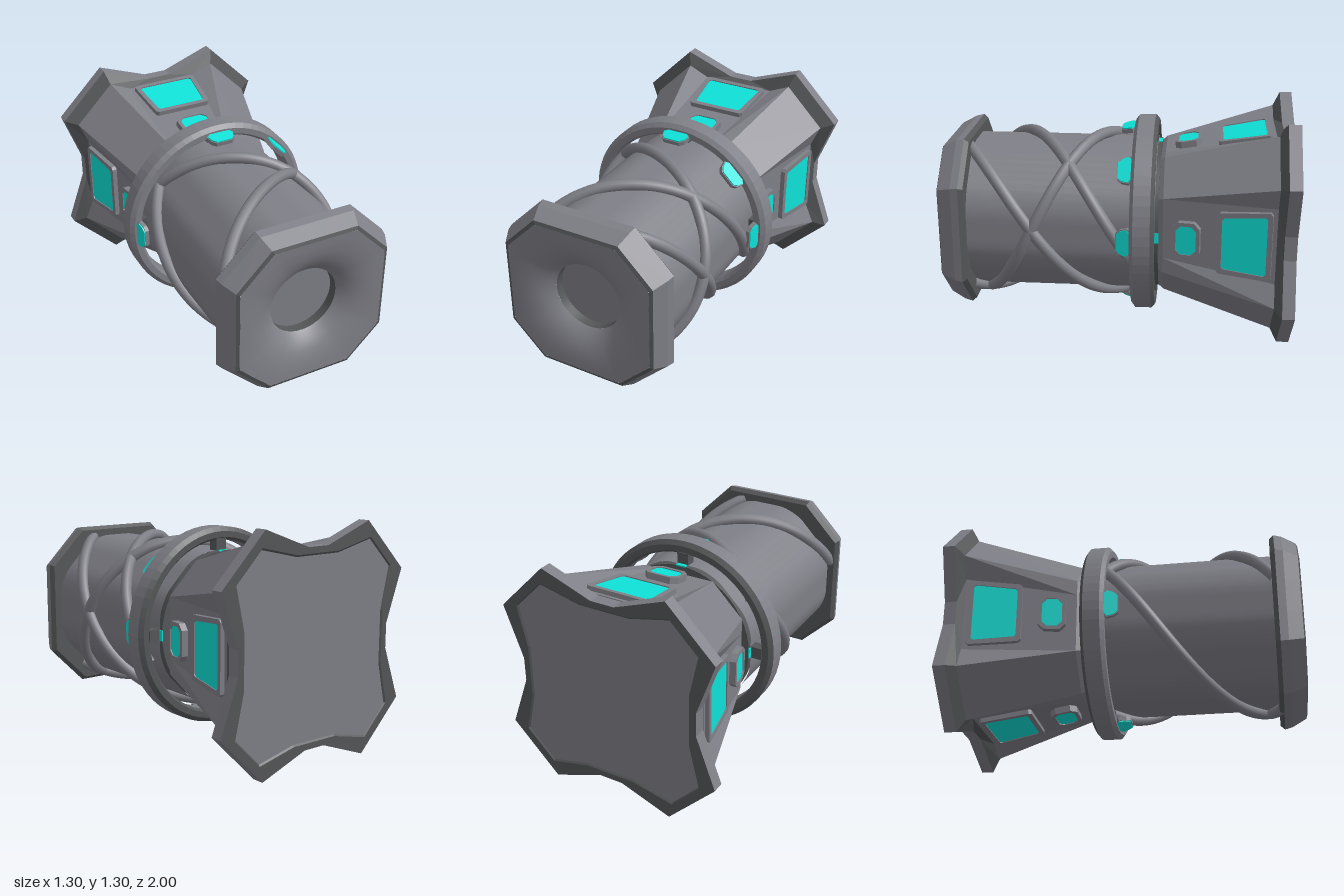
import * as THREE from 'three';

const metal = new THREE.MeshStandardMaterial({ name: 'grey metal', color: 0x7f7f87 });
const trim = new THREE.MeshStandardMaterial({ name: 'dark trim', color: 0x545658 });
const glow = new THREE.MeshStandardMaterial({ name: 'turquoise glass', color: 0x0ee2d8 });

// Four-fold outline: corners (w, c), side centres pulled to distance m over half width f
function star(w, c, m, f) {
  const pts = [];
  for (let k = 0; k < 4; k++) {
    const a = k * Math.PI / 2, s = Math.round(Math.sin(a)), o = Math.round(Math.cos(a));
    for (const [x, y] of [[w, -c], [m, -f], [m, f], [w, c]]) pts.push([x * o - y * s, x * s + y * o]);
  }
  return pts;
}
const oct = (w) => star(w, w * 0.56, w, w * 0.2);

// Outline from a radius rule r(angle)
function polar(n, r) {
  return Array.from({ length: n }, (_, i) => {
    const a = i / n * Math.PI * 2;
    return [Math.cos(a) * r(a), Math.sin(a) * r(a)];
  });
}
const circle = (r) => polar(64, () => r);

// Skin through [z, outline] sections
function loft(sections, smooth = false) {
  const n = sections[0][1].length, pos = [], idx = [];
  for (const [z, pts] of sections) for (const [x, y] of pts) pos.push(x, y, z);
  for (let i = 0; i < sections.length - 1; i++) {
    for (let j = 0; j < n; j++) {
      const a = i * n + j, b = i * n + (j + 1) % n;
      idx.push(a, b, b + n, a, b + n, a + n);
    }
  }
  let g = new THREE.BufferGeometry();
  g.setAttribute('position', new THREE.Float32BufferAttribute(pos, 3));
  g.setIndex(idx);
  if (!smooth) g = g.toNonIndexed();
  g.computeVertexNormals();
  return g;
}

function add(parent, name, geometry, material) {
  const mesh = new THREE.Mesh(geometry, material);
  mesh.name = name;
  parent.add(mesh);
  return mesh;
}

// Group turned about the long axis
function pivotAt(parent, name, angle) {
  const pivot = new THREE.Group();
  pivot.name = name;
  pivot.rotation.z = angle;
  parent.add(pivot);
  return pivot;
}

// Trapezoid with cut corners: half widths w0 (front) and w1 (back), half length h
function trapezoid(w0, w1, h, c, Type = THREE.Shape) {
  const pts = [[w0 - c, -h], [w0, -h + c], [w1, h - c], [w1 - c, h],
    [c - w1, h], [-w1, h - c], [-w0, -h + c], [c - w0, -h]];
  return new Type(pts.map(([x, y]) => new THREE.Vector2(x, y)));
}
const slab = (shape, depth) => new THREE.ExtrudeGeometry(shape, { depth, bevelEnabled: false });

// Group lying on a sloped side, its local z pointing outward and local y backward
function slopedGroup(parent, name, r, z, slope) {
  const g = new THREE.Group();
  g.name = name;
  const up = new THREE.Vector3(slope, 0, -1).normalize();
  const out = new THREE.Vector3(1, 0, slope).normalize();
  g.quaternion.setFromRotationMatrix(
    new THREE.Matrix4().makeBasis(new THREE.Vector3().crossVectors(up, out), up, out));
  g.position.set(r, 0, z);
  parent.add(g);
  return g;
}

// Raised frame with a thin glass pane inside
function windowUnit(parent, name, r, z, [w0, w1, h, c], border, height) {
  const g = slopedGroup(parent, name, r, z, 0.17);
  const inner = [w0 - border, w1 - border, h - border, c * 0.8];
  const frame = trapezoid(w0, w1, h, c);
  frame.holes.push(trapezoid(...inner, THREE.Path));
  add(g, name + 'Frame', slab(frame, height), metal);
  add(g, name + 'Glass', slab(trapezoid(...inner), 0.008), glow).position.z = height - 0.014;
}

export function createModel() {
  const root = new THREE.Group();
  root.name = 'device';
  const model = new THREE.Group();
  model.name = 'deviceParts';
  model.position.y = 0.65;
  root.add(model);

  // Star-shaped base flange with a slightly sunken back panel
  const edge = star(0.65, 0.37, 0.54, 0.07);
  const panel = star(0.55, 0.39, 0.495, 0.15);
  add(model, 'backPanel', loft([[-0.993, star(0, 0, 0, 0)], [-0.993, panel]]), metal);
  add(model, 'backRim', loft([[-0.993, panel], [-1, star(0.56, 0.39, 0.505, 0.15)], [-1, edge]]), trim);
  add(model, 'flange', loft([[-1, edge], [-0.93, edge]]), metal);
  const bodyBack = star(0.575, 0.345, 0.52, 0.22);
  add(model, 'flangeBevel', loft([[-0.93, edge], [-0.89, bodyBack]]), trim);

  // Tapered body with corner struts and sunken sides
  add(model, 'body', loft([[-0.89, bodyBack], [-0.265, star(0.405, 0.22, 0.405, 0.13)],
    [-0.24, star(0.385, 0.21, 0.385, 0.12)], [-0.24, star(0.1, 0.05, 0.1, 0.02)]]), metal);
  const collar = add(model, 'collar', new THREE.CylinderGeometry(0.44, 0.44, 0.05, 48), trim);
  collar.rotation.x = Math.PI / 2;
  collar.position.z = -0.215;

  // Windows and ring brackets on all four sides
  for (let k = 0; k < 4; k++) {
    const side = pivotAt(model, 'bodySide', k * Math.PI / 2);
    windowUnit(side, 'largeWindow', 0.485, -0.718, [0.178, 0.2, 0.152, 0.015], 0.028, 0.03);
    windowUnit(side, 'smallWindow', 0.43, -0.4, [0.105, 0.105, 0.078, 0.034], 0.021, 0.038);
    add(side, 'ringBracket', new THREE.BoxGeometry(0.1, 0.07, 0.06), trim).position.set(0.46, 0, -0.19);
    add(side, 'bracketLight', new THREE.BoxGeometry(0.008, 0.06, 0.03), glow).position.set(0.44, 0, -0.228);
  }

  // Ring standing off the collar, with a dark back face
  add(model, 'ring', loft([[-0.2, circle(0.575)], [-0.105, circle(0.575)], [-0.085, circle(0.55)],
    [-0.085, circle(0.515)], [-0.105, circle(0.5)], [-0.2, circle(0.5)]]), metal);
  add(model, 'ringBack', loft([[-0.2, circle(0.5)], [-0.22, circle(0.515)],
    [-0.22, circle(0.55)], [-0.2, circle(0.575)]]), trim);

  // Lamps on the front of the ring: four sides and one diagonal
  for (const deg of [0, 45, 90, 180, 270]) {
    const mount = pivotAt(model, 'lampMount', THREE.MathUtils.degToRad(deg));
    const lamp = slopedGroup(mount, 'ringLamp', 0.5, -0.055, 0.2);
    add(lamp, 'lampBody', slab(trapezoid(0.072, 0.084, 0.044, 0.022), 0.024), metal);
    add(lamp, 'lampGlass', slab(trapezoid(0.067, 0.079, 0.04, 0.021), 0.009), glow).position.z = 0.022;
  }

  // Barrel: rounded octagon
  const barrelLine = polar(64, (a) => {
    const step = Math.PI / 4, d = a - Math.round(a / step) * step;
    return Math.min(0.44 / Math.cos(d), 0.452);
  });
  add(model, 'barrel', loft([[-0.22, barrelLine], [0.86, barrelLine]], true), metal);

  // Tubes wound round the barrel: [angle at z = 0.47, degrees per unit z]
  for (const [deg, rate] of [[4, 165], [90, 190], [240, 168], [4, -240]]) {
    const pts = [];
    for (let i = 0; i <= 24; i++) {
      const z = -0.12 + i / 24 * 0.98;
      const a = THREE.MathUtils.degToRad(deg + rate * (z - 0.47));
      pts.push(new THREE.Vector3(Math.cos(a) * 0.468, Math.sin(a) * 0.468, z));
    }
    add(model, 'windingTube', new THREE.TubeGeometry(new THREE.CatmullRomCurve3(pts), 96, 0.033, 10), metal);
  }

  // Front cap with bevelled edges
  add(model, 'capBack', loft([[0.84, oct(0.3)], [0.84, oct(0.48)], [0.865, oct(0.5)]]), trim);
  add(model, 'cap', loft([[0.865, oct(0.5)], [0.91, oct(0.49)], [0.992, oct(0.45)]]), metal);
  add(model, 'capEdge', loft([[0.992, oct(0.45)], [1, oct(0.43)]]), trim);

  // Funnel blending from the octagonal edge to the round bore
  const octRadius = (a) => {
    const q = a - Math.round(a / (Math.PI / 2)) * Math.PI / 2;
    const e = Math.PI / 4 - Math.abs(q);
    return Math.min(1 / Math.cos(q), 1.56 * Math.SQRT1_2 / Math.cos(e));
  };
  const funnel = [[0.432, 1, 0], [0.39, 0.997, 0.2], [0.34, 0.99, 0.5], [0.29, 0.973, 0.8],
    [0.24, 0.945, 1], [0.2, 0.905, 1]];
  add(model, 'funnel', loft(funnel.map(([r, z, round]) =>
    [z, polar(96, (a) => r * THREE.MathUtils.lerp(octRadius(a), 1, round))]), true), metal);
  add(model, 'boreWall', loft([[0.905, circle(0.2)], [0.85, circle(0.2)]], true), trim);
  add(model, 'boreFloor', loft([[0.852, circle(0.2)], [0.852, circle(0)]]), metal);

  return root;
}
